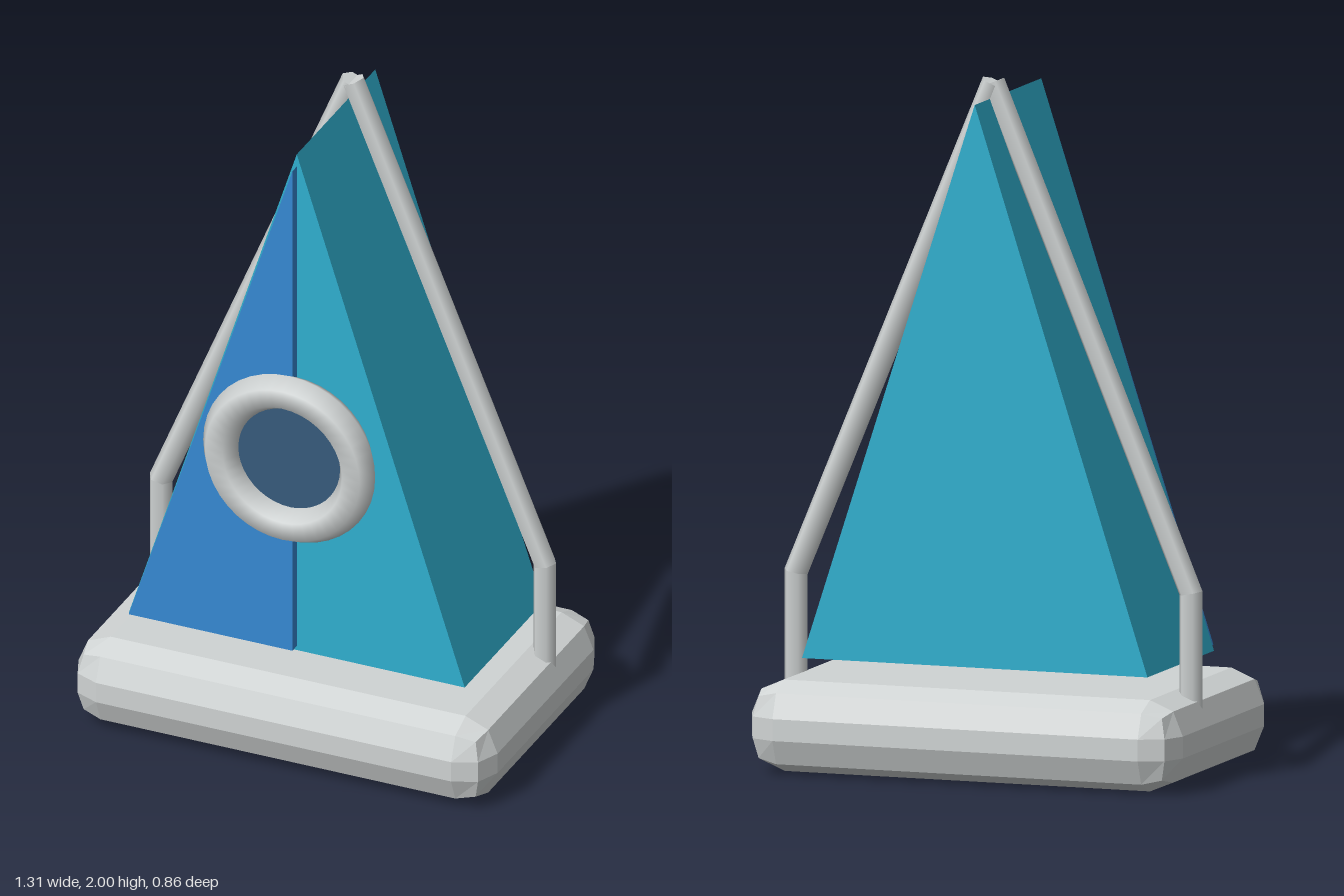
import * as THREE from 'three';
import { RoundedBoxGeometry } from 'three/addons/geometries/RoundedBoxGeometry.js';

function material(name, color, flatShading = false) {
  const m = new THREE.MeshStandardMaterial({ color, flatShading });
  m.name = name;
  return m;
}

// Triangular prism with its back face at z
function prism(points, z, depth) {
  const shape = new THREE.Shape(points.map(([x, y]) => new THREE.Vector2(x, y)));
  return new THREE.ExtrudeGeometry(shape, { depth, bevelEnabled: false }).translate(0, 0, z);
}

// Six-sided bar along y from 0 to length, each end cut at a slope for a mitre
function bar(radius, length, bottomSlope, topSlope) {
  const geo = new THREE.CylinderGeometry(radius, radius, length, 6, 1, false, Math.PI / 6);
  geo.translate(0, length / 2, 0);
  const pos = geo.attributes.position;
  for (let i = 0; i < pos.count; i++) {
    const slope = pos.getY(i) > length / 2 ? topSlope : bottomSlope;
    pos.setY(i, pos.getY(i) + pos.getX(i) * slope);
  }
  return geo;
}

export function createModel() {
  const model = new THREE.Group();
  model.name = 'model';
  const grey = material('light grey', 0xd0d4d4);
  const greyFlat = grey;
  const teal = material('teal', 0x30b0d0);
  const blue = material('blue', 0x3689d4);
  const navy = material('navy', 0x375b7c);

  const add = (name, geo, mat, parent = model) => {
    const mesh = new THREE.Mesh(geo, mat);
    mesh.name = name;
    parent.add(mesh);
    return mesh;
  };

  // Chamfered base, faceted through per-face normals
  const baseGeo = new RoundedBoxGeometry(1.31, 0.263, 0.86, 1, 0.1).toNonIndexed();
  baseGeo.computeVertexNormals();
  add('base', baseGeo, greyFlat).position.y = 0.1335;

  // Foot strips under the base
  for (const side of [-1, 1]) {
    add('footStrip', new THREE.BoxGeometry(0.14, 0.008, 0.56), navy).position.set(side * 0.45, 0.004, 0);
  }

  // Wedge body and raised half panel
  add('body', prism([[-0.525, 0.32], [0.525, 0.32], [0, 1.94]], -0.27, 0.54), teal);
  add('frontPanel', prism([[-0.512, 0.333], [0, 0.333], [0, 1.9]], 0.27, 0.03), blue);

  // Round window
  add('windowRing', new THREE.TorusGeometry(0.214, 0.055, 6, 40), grey).position.set(0, 0.973, 0.322);
  const glass = add('windowGlass', new THREE.CylinderGeometry(0.175, 0.175, 0.045, 40), navy);
  glass.rotation.x = Math.PI / 2;
  glass.position.set(0, 0.973, 0.2925);

  // Bent frame bars, the second turned half round to mirror the first
  const bendY = 0.545, topY = 1.985, footX = 0.6, footY = 0.2, radius = 0.035;
  const bend = Math.atan2(footX, topY - bendY);
  const slope = Math.tan(bend / 2);
  for (const turn of [0, Math.PI]) {
    const leg = new THREE.Group();
    leg.name = turn ? 'rightFrameBar' : 'leftFrameBar';
    leg.position.z = -0.117;
    leg.rotation.y = turn;
    add('lowerBar', bar(radius, bendY - footY, 0, slope), grey, leg).position.set(footX, footY, 0);
    const upper = add('upperBar', bar(radius, Math.hypot(footX, topY - bendY), -slope, 0), grey, leg);
    upper.position.set(footX, bendY, 0);
    upper.rotation.z = bend;
    model.add(leg);
  }
  return model;
}
